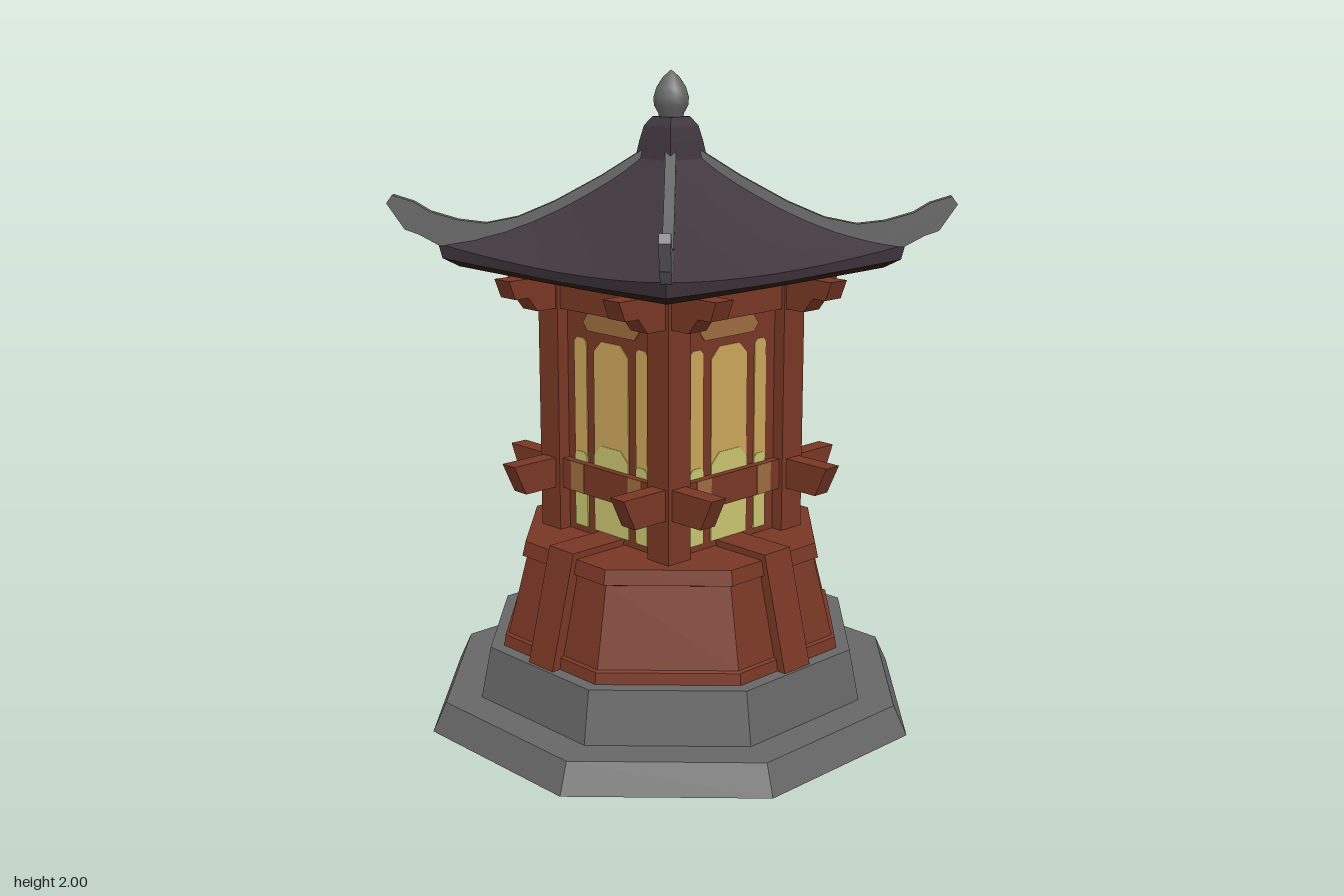
import * as THREE from 'three';

const mat = (name, color, side = THREE.FrontSide) => {
  const m = new THREE.MeshStandardMaterial({ color, side });
  m.name = name;
  return m;
};

export function createModel() {
  const model = new THREE.Group();
  model.name = 'gardenLantern';
  const stone = mat('greyStone', 0x666666, THREE.DoubleSide);
  const wood = mat('redWood', 0x783724, THREE.DoubleSide);
  const tile = mat('darkPurpleTile', 0x41373f);
  const soffitMat = mat('darkUnderside', 0x2c1c15, THREE.DoubleSide);
  const amber = mat('amberGlass', 0xcda75b);
  const lime = mat('paleGreenGlow', 0xcac571);
  const bronze = mat('bronzeTrim', 0x9f6d3f);

  const add = (name, geo, material, parent = model) => {
    const mesh = new THREE.Mesh(geo, material);
    mesh.name = name;
    parent.add(mesh);
    return mesh;
  };
  const flat = (geo) => {
    const g = geo.index ? geo.toNonIndexed() : geo;
    g.computeVertexNormals();
    return g;
  };
  // Faceted ring: profile of [flat-to-centre distance, height], bottom to top
  const ring = (profile, sides) => {
    const k = 1 / Math.cos(Math.PI / sides);
    const pts = profile.map(([r, y]) => new THREE.Vector2(r * k, y));
    return flat(new THREE.LatheGeometry(pts, sides, Math.PI / sides));
  };
  // Outline in x/y extruded along z, centred on z = 0
  const slab = (points, depth) => {
    const shape = new THREE.Shape(points.map(([x, y]) => new THREE.Vector2(x, y)));
    return new THREE.ExtrudeGeometry(shape, { depth, bevelEnabled: false }).translate(0, 0, -depth / 2);
  };
  const mirrored = (half) => [...half, ...half.map(([x, y]) => [-x, y]).reverse()];

  // Stone steps, hollow underneath
  add('stoneSteps', ring([[0.73, 0], [0.69, 0.09], [0.585, 0.09], [0.555, 0.25], [0.48, 0.25]], 8), stone);

  // Timber plinth with recessed panels
  add('plinth', ring([[0.515, 0.25], [0.51, 0.285], [0.5, 0.29], [0.442, 0.53], [0.455, 0.535],
    [0.445, 0.58], [0.25, 0.58]], 8), wood);

  // Window with straight sides and clipped upper corners
  const pane = (x0, x1, y0, y1) => {
    const c = (x1 - x0) * 0.22;
    return slab([[x0, y0], [x1, y0], [x1, y1 - c], [x1 - c, y1], [x0 + c, y1], [x0, y1 - c]], 0.006);
  };

  // Chamber core
  add('chamberWall', new THREE.BoxGeometry(0.5, 0.81, 0.5).translate(0, 0.985, 0), wood);

  // Roof cross-section at the corners: [half width, height]
  const roofProfile = [[0.07, 1.745], [0.11, 1.7], [0.15, 1.663], [0.2, 1.622], [0.25, 1.585],
    [0.31, 1.547], [0.37, 1.516], [0.44, 1.49], [0.505, 1.475]];
  // One roof side: rows of [half width, height, inward bow, sag at the middle]
  const roofSide = (rows, n = 12) => {
    const pos = [], idx = [];
    rows.forEach(([s, y, bow, sag], j) => {
      for (let i = 0; i <= n; i++) {
        const u = (2 * i) / n - 1, m = 1 - u * u;
        pos.push(u * s, y - sag * m, s - bow * m);
        if (j < rows.length - 1 && i < n) {
          const a = j * (n + 1) + i, b = a + n + 1;
          idx.push(a, b, a + 1, b, b + 1, a + 1);
        }
      }
    });
    const g = new THREE.BufferGeometry();
    g.setAttribute('position', new THREE.Float32BufferAttribute(pos, 3));
    g.setIndex(idx);
    g.computeVertexNormals();
    return g;
  };
  const topRows = roofProfile.map(([s, y]) => {
    const t = (s - 0.07) / 0.435;
    return [s, y, 0.048 * t * t, 0.035 * t * t];
  });

  const lowerBeam = mirrored([[0.41, 0.715], [0.455, 0.81]]);
  const upperBeam = mirrored([[0.36, 1.285], [0.395, 1.33], [0.445, 1.33], [0.468, 1.388]]);
  const ridgeTop = [[0.06, 1.765], [0.15, 1.685], [0.25, 1.608], [0.33, 1.56], [0.4, 1.54], [0.46, 1.55],
    [0.52, 1.575], [0.555, 1.605], [0.6, 1.625]];
  const ridgeUnder = [[0.613, 1.6], [0.575, 1.52], [0.545, 1.505], [0.5, 1.47], [0.43, 1.475],
    [0.35, 1.51], [0.25, 1.57], [0.15, 1.65], [0.06, 1.73]];
  // Ridge outline is stretched along the diagonal
  const ridge = slab([...ridgeTop, ...ridgeUnder].map(([x, y]) => [x * Math.SQRT2, y]).reverse(), 0.032);

  // Everything that repeats on each of the four sides
  for (let k = 0; k < 4; k++) {
    const side = new THREE.Group();
    side.name = 'side' + (k + 1);
    side.rotation.y = (k * Math.PI) / 2;
    model.add(side);

    // Sloping rib in the middle of the plinth
    const rib = slab([[0.4, 0.25], [0.545, 0.25], [0.457, 0.6], [0.25, 0.6]], 0.11);
    add('plinthRib', rib.rotateY(-Math.PI / 2), wood, side);

    // Corner post and crossing beams
    add('cornerPost', new THREE.BoxGeometry(0.09, 0.81, 0.09).translate(0.245, 0.985, 0.245), wood, side);
    add('railBeam', slab(lowerBeam, 0.058).translate(0, 0, 0.248), wood, side);
    add('eaveBeam', slab(upperBeam, 0.07).translate(0, 0, 0.243), wood, side);

    // Windows, glow at their feet, and bronze details
    const panes = [[-0.167, -0.11, 0.84], [-0.077, 0.077, 0.875], [0.11, 0.16, 0.84]];
    for (const [x0, x1, top] of panes) {
      add('windowPane', pane(x0, x1, 0.8, 1.2).translate(0, 0, 0.25), amber, side);
      add('windowGlow', pane(x0, x1, 0.6, top).translate(0, 0, 0.252), lime, side);
    }
    for (const x of [-0.13, 0.13]) {
      add('railPlate', new THREE.BoxGeometry(0.06, 0.093, 0.006).translate(x, 0.763, 0.276), bronze, side);
    }
    add('transomPlate', slab(mirrored([[0.105, 1.225], [0.125, 1.25], [0.1, 1.283]]), 0.006)
      .translate(0, 0, 0.25), bronze, side);

    // Roof surface, edge and underside
    add('roofSlope', roofSide(topRows), tile, side);
    add('roofEdge', roofSide([[0.505, 1.475, 0.048, 0.035], [0.497, 1.43, 0.048, 0.018]]), tile, side);
    add('roofUnderside', roofSide([[0.497, 1.43, 0.048, 0.018], [0.46, 1.405, 0.03, 0.01],
      [0.38, 1.388, 0, 0], [0.02, 1.388, 0, 0]]), soffitMat, side);

    // Hip ridge ending in an upturned horn
    add('hipRidge', ridge.clone().rotateY(Math.PI / 4), stone, side);
  }

  // Tapered roof cap and bud finial
  add('roofCap', ring([[0.078, 1.73], [0.068, 1.79], [0.058, 1.835], [0.04, 1.862], [0, 1.862]], 4), tile);
  const bud = [[0.036, 1.855], [0.04, 1.872], [0.053, 1.895], [0.055, 1.918], [0.046, 1.948],
    [0.026, 1.978], [0, 2]].map(([r, y]) => new THREE.Vector2(r, y));
  add('finial', new THREE.LatheGeometry(bud, 12), stone);

  return model;
}
